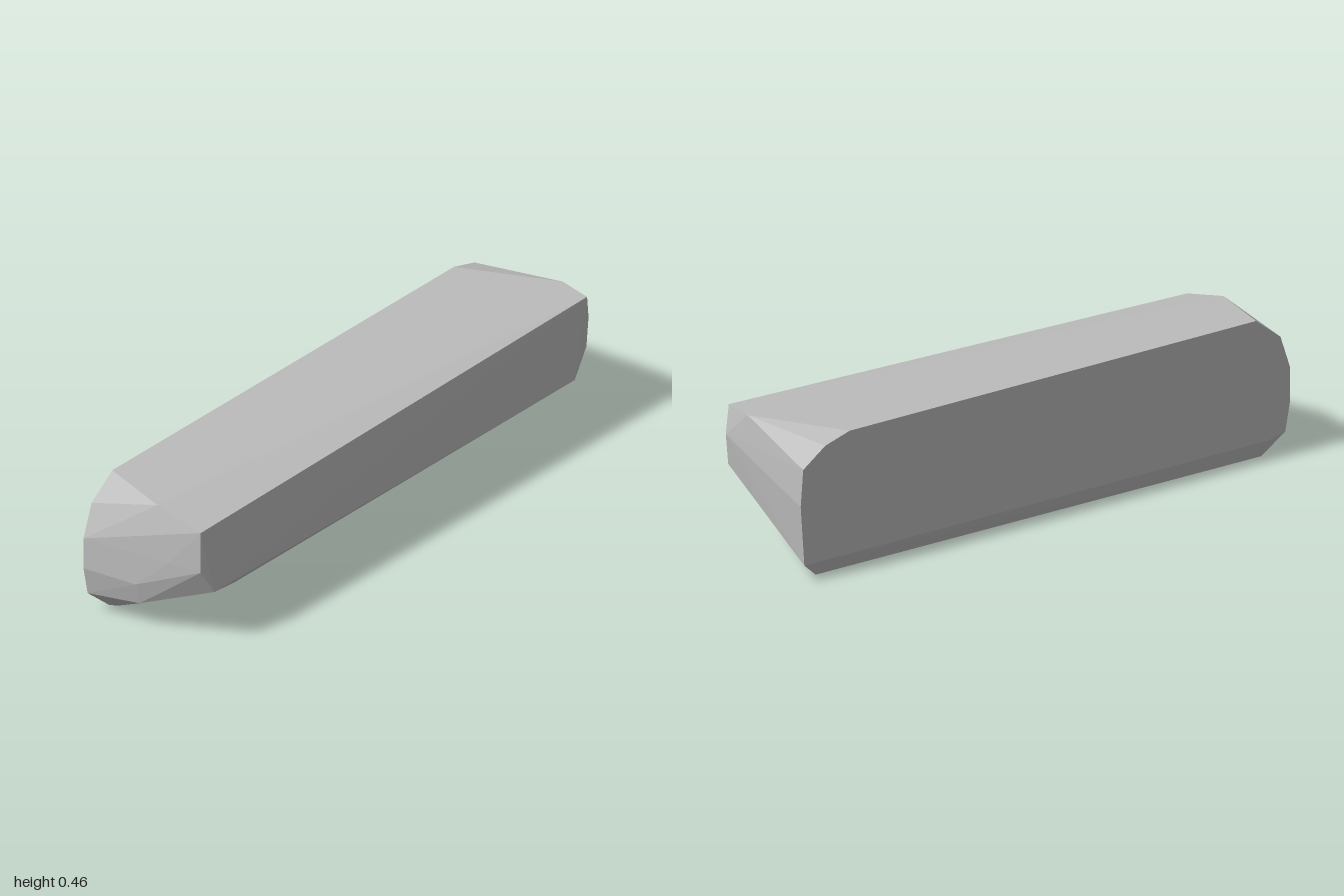
import * as THREE from 'three';
import { ConvexGeometry } from 'three/addons/geometries/ConvexGeometry.js';

export function createModel() {
  const stone = new THREE.MeshStandardMaterial({ color: 0xbcbcbc });
  const v = (x, y, z) => new THREE.Vector3(x, y, z);

  // flat side outline as [y, z], running from the front top round to the back top
  const flatSide = [
    [0.458, 0.86], [0.385, 0.96], [0.275, 1], [0.168, 1], [0.07, 0.98], [0.055, 0.91],
    [0.055, -0.985], [0.25, -1], [0.37, -0.99], [0.43, -0.9], [0.458, -0.8],
  ].map(([y, z]) => v(-0.22, y, z));

  // chipped front end
  const frontEnd = [
    v(0.03, 0.459, 0.94), v(0.205, 0.423, 0.94), v(0.205, 0.28, 0.94),
    v(0.09, 0.282, 0.959), v(-0.03, 0.168, 0.975), v(-0.03, 0.092, 0.955),
    v(0.219, 0.195, 0.89), v(0.2, 0.17, 0.77),
  ];

  // chipped back end
  const backEnd = [
    v(0.22, 0.459, -0.92), v(0.1, 0.459, -0.945), v(0.205, 0.37, -0.945),
    v(0.205, 0.27, -0.935), v(0.22, 0.187, -0.86),
  ];

  // lower ridge
  const ridge = [
    v(-0.198, 0, 0.9), v(-0.16, 0.012, 0.9),
    v(-0.198, 0.006, -0.92), v(-0.16, 0.014, -0.91),
  ];

  const block = new THREE.Mesh(
    new ConvexGeometry([...flatSide, ...frontEnd, ...backEnd, ...ridge]), stone);
  block.name = 'chippedBlock';

  const group = new THREE.Group();
  group.name = 'stoneBeam';
  group.add(block);
  return group;
}
